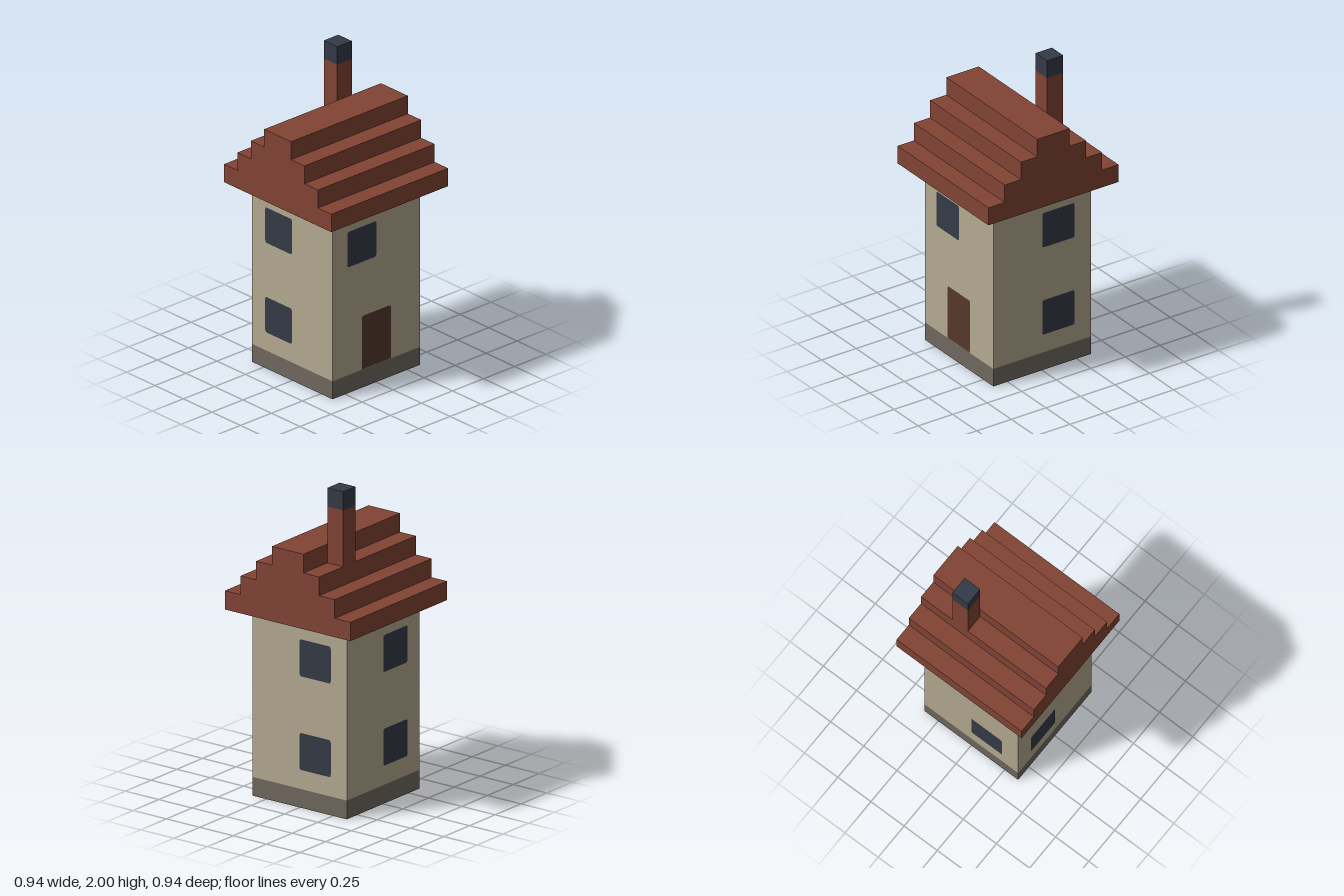
import * as THREE from 'three';

const U = 2 / 17; // the house is laid out on a 17-unit-high block grid

const paint = (name, color) => {
  const m = new THREE.MeshStandardMaterial({ color });
  m.name = name;
  return m;
};

export function createModel() {
  const house = new THREE.Group();
  house.name = 'house';
  const plaster = paint('plaster', 0xb5aa92);
  const stone = paint('stone', 0x70685f);
  const brick = paint('roofRed', 0x824435);
  const glass = paint('darkGlass', 0x343a46);
  const wood = paint('doorWood', 0x55382b);

  const add = (name, geometry, material, parent = house) => {
    const mesh = new THREE.Mesh(geometry, material);
    mesh.name = name;
    parent.add(mesh);
    return mesh;
  };

  // Box given by its minimum corner and size in grid units
  const block = (name, x, y, z, w, h, d, material) =>
    add(name, new THREE.BoxGeometry(w * U, h * U, d * U), material)
      .position.set((x + w / 2) * U, (y + h / 2) * U, (z + d / 2) * U);

  // Flat panel with small rounded corners, spanning x0..x1 and y0..y1 on a wall face
  const panel = (name, x0, y0, x1, y1, material, wall, bottomRadius = 0.015) => {
    const [l, b, r, t] = [x0 * U + 0.001, y0 * U + 0.003, x1 * U - 0.001, y1 * U];
    const c = 0.015, k = bottomRadius;
    const s = new THREE.Shape();
    s.moveTo(l + k, b).lineTo(r - k, b);
    s.quadraticCurveTo(r, b, r, b + k).lineTo(r, t - c);
    s.quadraticCurveTo(r, t, r - c, t).lineTo(l + c, t);
    s.quadraticCurveTo(l, t, l, t - c).lineTo(l, b + k);
    s.quadraticCurveTo(l, b, l + k, b);
    add(name, new THREE.ShapeGeometry(s, 4), material, wall).position.z = 3 * U + 0.002;
  };

  // Body
  block('plinth', -3, 0, -3, 6, 1, 6, stone);
  block('walls', -3, 1, -3, 6, 9, 6, plaster);

  // Stepped gable roof
  const steps = new THREE.Shape();
  steps.moveTo(-4 * U, 10 * U).lineTo(4 * U, 10 * U);
  for (let i = 0; i < 4; i++) {
    steps.lineTo((4 - i) * U, (11 + i) * U);
    steps.lineTo((i < 3 ? 3 - i : -1) * U, (11 + i) * U);
  }
  for (let i = 3; i > 0; i--) {
    steps.lineTo((i - 4) * U, (10 + i) * U);
    steps.lineTo((i - 5) * U, (10 + i) * U);
  }
  const roof = new THREE.ExtrudeGeometry(steps, { depth: 8 * U, bevelEnabled: false });
  roof.translate(0, 0, -4 * U).rotateY(Math.PI / 2);
  add('roof', roof, brick);

  // Chimney
  block('chimney', 1, 13, -2, 1, 3, 1, brick);
  block('chimneyCap', 1, 16, -2, 1, 1, 1, glass);

  // Door and windows, one group per wall turned to face outwards
  const facade = (name, angle) => {
    const g = new THREE.Group();
    g.name = name;
    g.rotation.y = angle;
    house.add(g);
    return g;
  };
  const front = facade('frontOpenings', 0);
  panel('door', -1, 1, 1, 4, wood, front, 0);
  panel('upperWindow', -2, 7, 0, 9, glass, front);
  const sides = [
    ['leftWindows', Math.PI / 2, 0],
    ['backWindows', Math.PI, 0],
    ['rightWindows', -Math.PI / 2, -2],
  ];
  for (const [name, angle, x] of sides) {
    const wall = facade(name, angle);
    panel('lowerWindow', x, 2, x + 2, 4, glass, wall);
    panel('upperWindow', x, 7, x + 2, 9, glass, wall);
  }
  return house;
}
